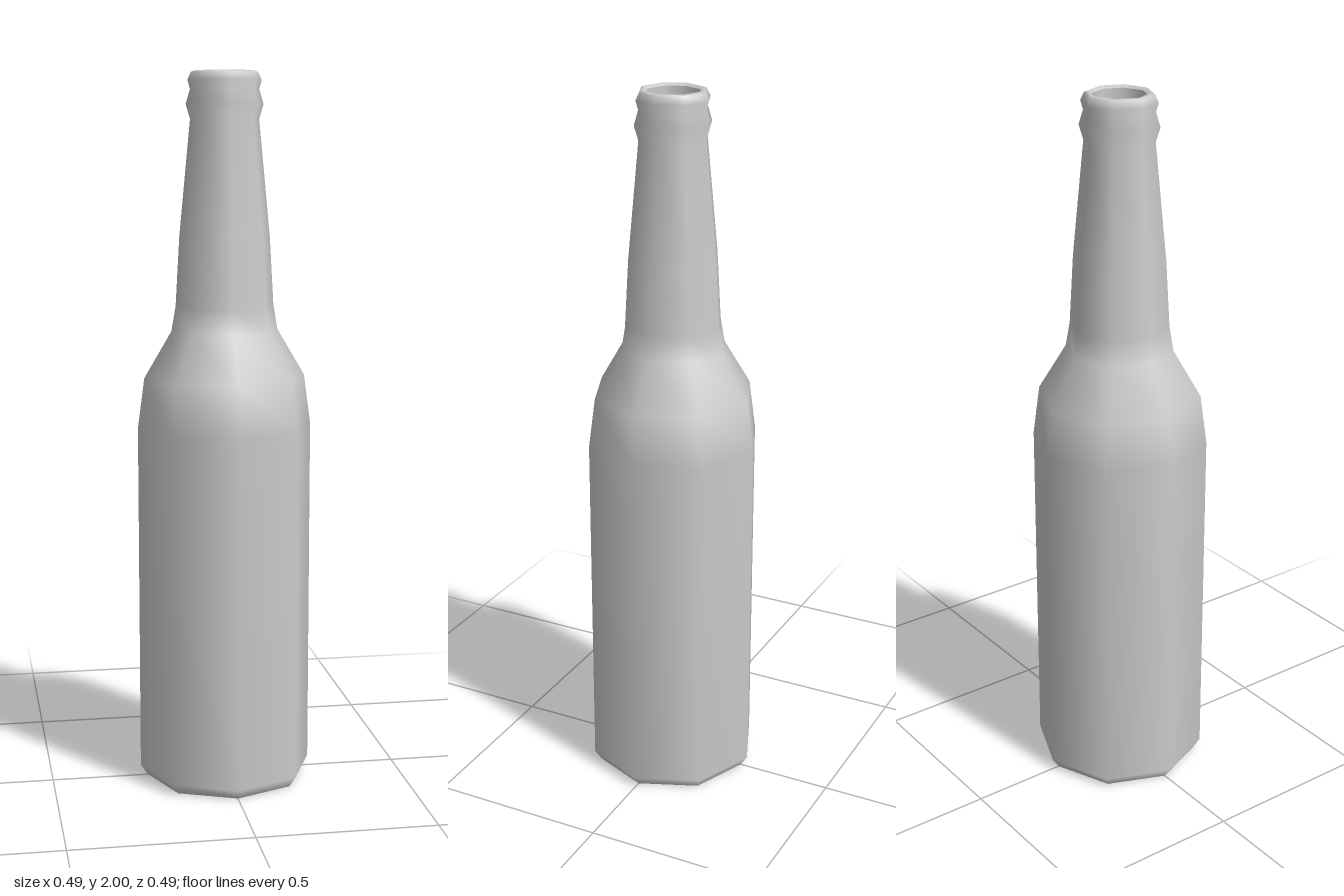
import * as THREE from 'three';

const SIDES = 8;
const material = new THREE.MeshStandardMaterial({ color: 0xcccccc });

function addMesh(group, name, geometry) {
  const mesh = new THREE.Mesh(geometry, material);
  mesh.name = name;
  group.add(mesh);
  return mesh;
}

// Smooth-shaded octagonal surface from [radius, height] pairs
function turned(profile) {
  return new THREE.LatheGeometry(profile.map(([r, y]) => new THREE.Vector2(r, y)), SIDES);
}

export function createModel() {
  const bottle = new THREE.Group();
  bottle.name = 'bottle';

  // Outer skin: chamfered foot, straight body, shoulder, tapering neck, collar and lip
  addMesh(bottle, 'bottleBody', turned([
    [0.226, 0], [0.246, 0.03], [0.246, 1.02], [0.227, 1.16],
    [0.15, 1.29], [0.138, 1.36], [0.127, 1.55], [0.096, 1.87],
    [0.108, 1.91], [0.096, 1.95], [0.103, 1.975], [0.093, 1.996], [0.084, 2], [0.075, 1.993],
  ]));

  // Inside of the mouth
  addMesh(bottle, 'mouthWall', turned([[0.075, 1.993], [0.075, 1.87]]));
  const floor = addMesh(bottle, 'mouthFloor', new THREE.CircleGeometry(0.075, SIDES));
  floor.rotation.x = -Math.PI / 2;
  floor.position.y = 1.87;

  // Flat underside
  const base = addMesh(bottle, 'base', new THREE.CircleGeometry(0.226, SIDES));
  base.rotation.x = Math.PI / 2;

  return bottle;
}
